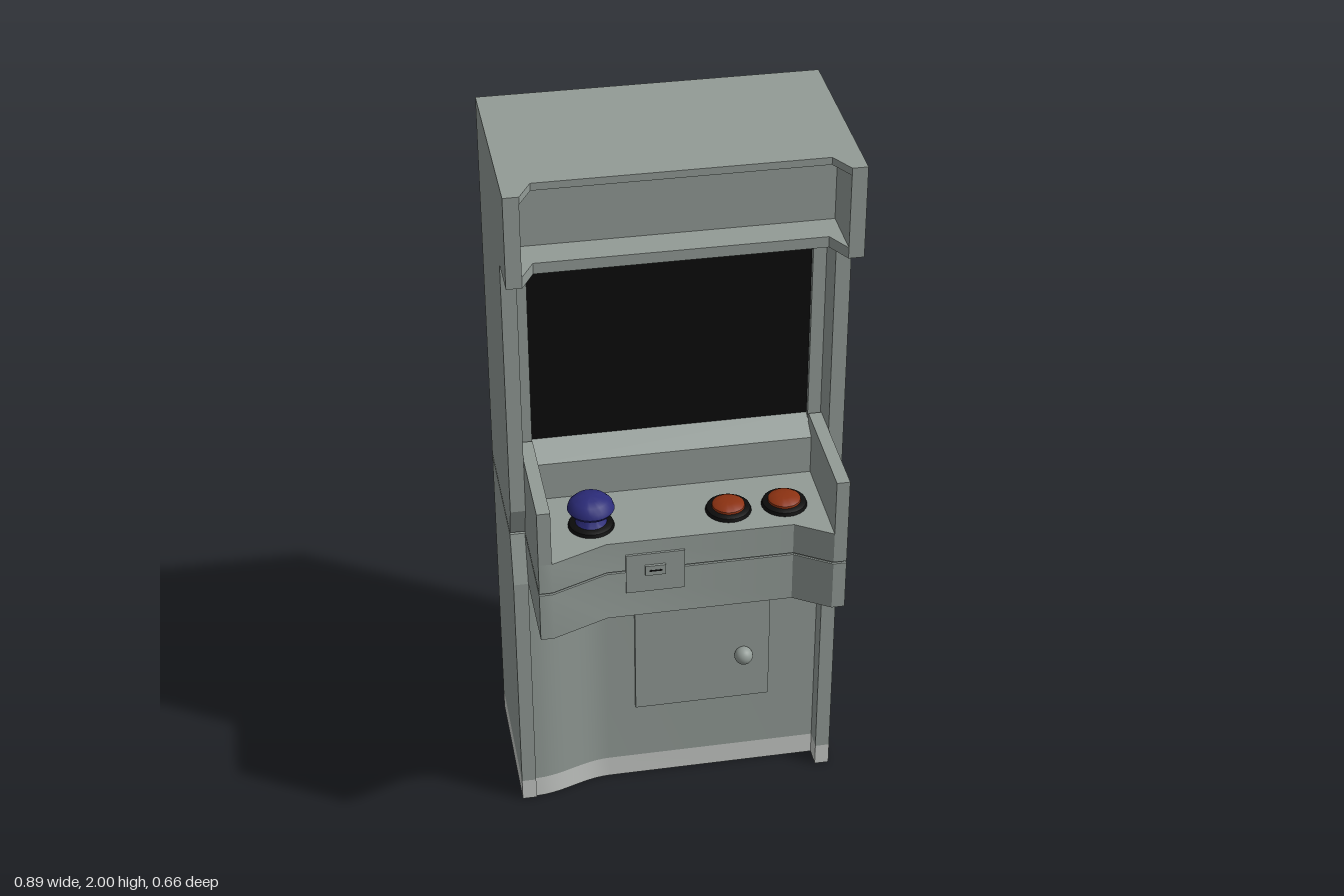
import * as THREE from 'three';
import { toCreasedNormals } from 'three/addons/utils/BufferGeometryUtils.js';

const paint = (name, color) => {
  const m = new THREE.MeshStandardMaterial({ color });
  m.name = name;
  return m;
};

export function createModel() {
  const model = new THREE.Group();
  model.name = 'arcadeCabinet';
  const grey = paint('cabinetGrey', 0x929b96);
  const pale = paint('baseGrey', 0xc6c9c6);
  const black = paint('black', 0x0c0c0c);
  const blue = paint('stickBlue', 0x2b2b78);
  const orange = paint('buttonOrange', 0x8c3212);

  const add = (name, geo, mat = grey, x = 0, y = 0, z = 0) => {
    const mesh = new THREE.Mesh(geo, mat);
    mesh.name = name;
    mesh.position.set(x, y, z);
    model.add(mesh);
    return mesh;
  };
  // Box given by its limits on each axis
  const block = (name, [x0, x1], [y0, y1], [z0, z1], mat) =>
    add(name, new THREE.BoxGeometry(x1 - x0, y1 - y0, z1 - z0), mat,
      (x0 + x1) / 2, (y0 + y1) / 2, (z0 + z1) / 2);
  const extrude = (pts, depth) => new THREE.ExtrudeGeometry(
    new THREE.Shape(pts.map(p => new THREE.Vector2(...p))), { depth, bevelEnabled: false });
  // Floor-plan outline [x, z] raised from y0 to y1
  const plan = (name, pts, y0, y1, mat) => add(name, toCreasedNormals(
    extrude(pts.map(([x, z]) => [x, -z]), y1 - y0).rotateX(-Math.PI / 2), 0.5), mat, 0, y0, 0);
  // Side profile [z, y] stretched from x0 to x1
  const profile = (name, pts, x0, x1) => add(name,
    extrude(pts.map(([z, y]) => [-z, y]), x1 - x0).rotateY(Math.PI / 2), grey, x0, 0, 0);
  const lathe = (name, pts, mat, x, y, z) => add(name, toCreasedNormals(
    new THREE.LatheGeometry(pts.map(p => new THREE.Vector2(...p)), 32), 0.7), mat, x, y, z);

  const back = -0.33, half = 0.445, inner = 0.405, wall = 0.37;
  const seamLow = 0.903, seamHigh = 0.909;

  // Lower front, easing back from the panel on one side
  const curve = [];
  for (let i = 0; i <= 10; i++) {
    const t = i / 10;
    curve.push([-inner + 0.22 * t, 0.03 + 0.05 * (1 + Math.cos(Math.PI * t)) / 2]);
  }
  const lowerFront = [[-inner, back], ...curve, [inner, 0.03], [inner, back]];
  const footprint = [[-half, back], [-half, 0.085], [-inner, 0.085], ...curve,
    [inner, 0.03], [inner, 0.085], [half, 0.085], [half, back]];
  plan('baseStrip', footprint, 0, 0.065, pale);
  plan('underside', footprint, -0.001, 0, grey);
  block('backKickPlate', [-half, half], [0, 0.065], [back - 0.002, back]);
  plan('lowerBody', lowerFront, 0.065, seamLow);

  // Side panels, split at the waist seam
  for (const x0 of [-half, inner]) {
    profile('lowerSidePanel', [[back, 0.065], [0.085, 0.065], [0.085, 0.76],
      [0.05, seamLow], [back, seamLow]], x0, x0 + 0.04);
    profile('upperSidePanel', [[back, seamHigh], [0.05, seamHigh], [0.085, 1], [0.085, 1.75],
      [0.21, 1.75], [0.21, 2], [back, 2]], x0, x0 + 0.04);
  }
  block('seamCore', [-half + 0.008, half - 0.008], [0.89, 0.92], [back + 0.008, 0.04]);

  // Upper body with screen, frame and sloped sill
  block('upperBody', [-inner, inner], [seamHigh, 1.75], [back, -0.03]);
  block('screen', [-wall, wall], [1.15, 1.66], [-0.03, -0.024], black);
  for (const s of [-1, 1]) {
    block('screenFrameSide', [Math.min(s * wall, s * inner), Math.max(s * wall, s * inner)],
      [1.1, 1.69], [-0.03, -0.01]);
  }
  block('screenFrameTop', [-wall, wall], [1.66, 1.69], [-0.03, -0.01]);
  profile('screenSill', [[-0.03, seamHigh], [0.04, seamHigh], [0.04, 1.11], [-0.03, 1.15]],
    -inner, inner);
  block('screenHeader', [-inner, inner], [1.69, 1.75], [-0.03, 0.03]);

  // Recessed marquee between two bevelled shelves
  block('marqueePanel', [-inner, inner], [1.75, 2], [back, 0.06]);
  const shelf = [[-inner, 0.05], [-inner, 0.21], [-wall, 0.147], [wall, 0.147],
    [inner, 0.21], [inner, 0.05]];
  plan('marqueeLowerShelf', shelf, 1.75, 1.78);
  plan('marqueeTopShelf', shelf, 1.98, 2);

  // Control console, also split at the seam
  const console_ = (inset) => [[-inner + inset, 0], [-inner + inset, 0.33 - inset],
    [-wall, 0.33 - inset], [-0.22, 0.27 - inset], [0.275, 0.27 - inset],
    [wall, 0.33 - inset], [inner - inset, 0.33 - inset], [inner - inset, 0]];
  plan('consoleLower', console_(0), 0.76, seamLow);
  plan('consoleSeam', console_(0.006), 0.89, 0.92);
  plan('consoleUpper', console_(0), seamHigh, 1);
  for (const x0 of [-inner, wall]) block('consoleWall', [x0, x0 + 0.035], [1, 1.16], [0, 0.33]);

  // Coin plate with slot
  block('coinPlate', [-0.17, -0.015], [0.84, 0.96], [0.26, 0.276]);
  block('coinSlotSurround', [-0.12, -0.066], [0.895, 0.925], [0.27, 0.283]);
  block('coinSlot', [-0.11, -0.076], [0.907, 0.912], [0.28, 0.2835], black);

  // Joystick
  const ring = [[0.061, 0], [0.058, 0.009], [0.048, 0.013], [0, 0.013]];
  lathe('joystickRing', ring, black, -0.245, 1, 0.177);
  lathe('joystick', [[0.042, 0.012], [0.036, 0.02], [0.03, 0.032], [0.034, 0.04], [0.056, 0.047],
    [0.062, 0.056], [0.058, 0.069], [0.045, 0.082], [0.025, 0.09], [0, 0.093]],
  blue, -0.245, 1, 0.177);

  // Push buttons
  for (const x of [0.12, 0.27]) {
    lathe('buttonRing', ring, black, x, 1, 0.172);
    lathe('button', [[0.044, 0.01], [0.043, 0.019], [0.034, 0.025], [0.018, 0.028], [0, 0.029]],
      orange, x, 1, 0.172);
  }

  // Service door and knob
  block('serviceDoor', [-0.11, 0.27], [0.25, 0.59], [0.02, 0.042]);
  add('doorKnob', new THREE.SphereGeometry(0.026, 20, 14), grey, 0.195, 0.405, 0.055);

  return model;
}
